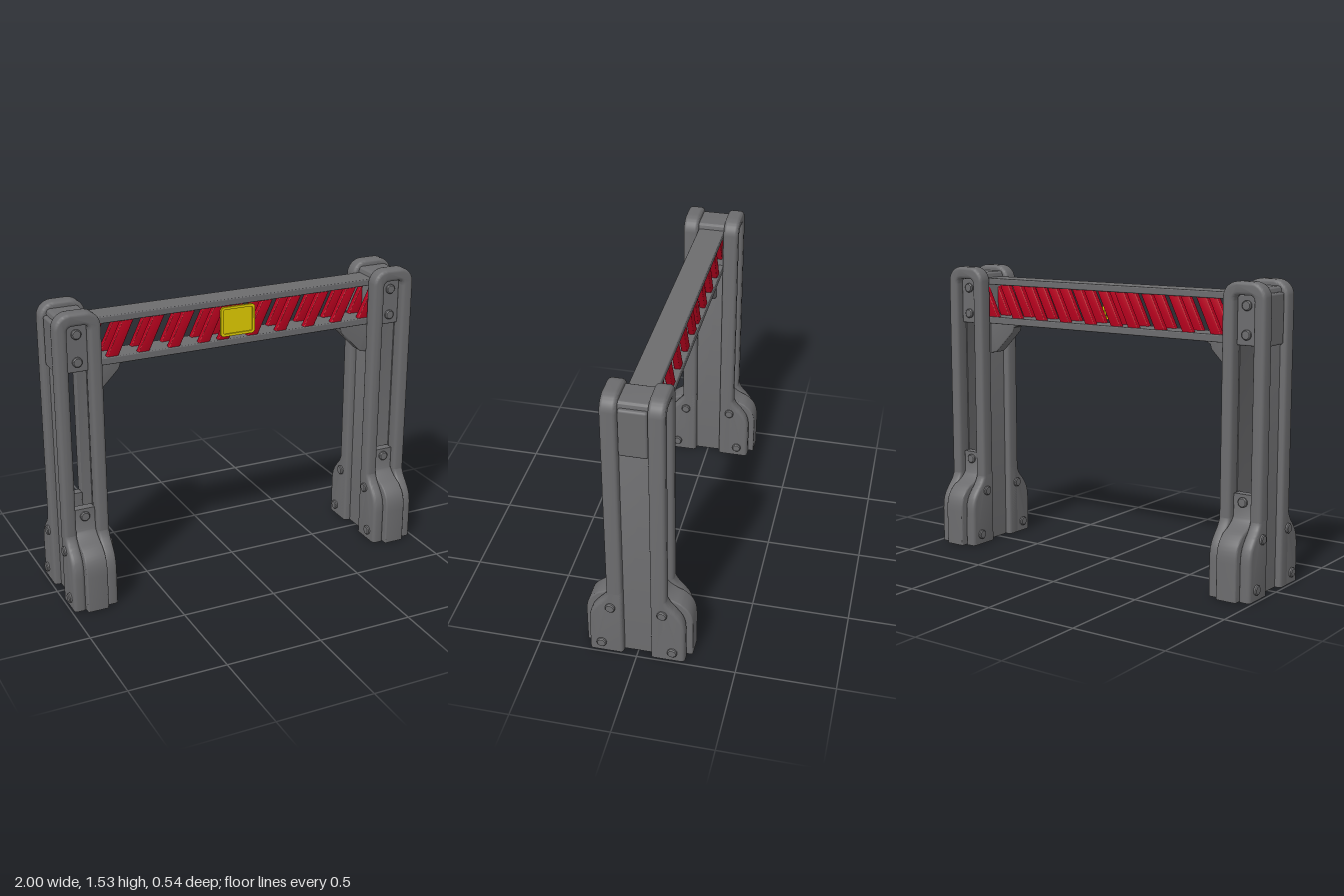
import * as THREE from 'three';
import { toCreasedNormals } from 'three/addons/utils/BufferGeometryUtils.js';
import { RoundedBoxGeometry } from 'three/addons/geometries/RoundedBoxGeometry.js';

export function createModel() {
  const root = new THREE.Group();
  root.name = 'barrierGate';
  const mat = (name, color) => Object.assign(new THREE.MeshStandardMaterial({ color }), { name });
  const steel = mat('steelGrey', 0x6c6c6e);
  steel.side = THREE.DoubleSide; // legs are hollow and open underneath
  const red = mat('stripeRed', 0xb8001e);
  const yellow = mat('signYellow', 0xe0cc00);

  const add = (parent, name, geo, material = steel) => {
    const mesh = new THREE.Mesh(geo, material);
    mesh.name = name;
    parent.add(mesh);
    return mesh;
  };

  // Cut a geometry level with the ground and leave it open underneath
  const openBase = (geo) => {
    const p = geo.attributes.position;
    const kept = [];
    for (let i = 0; i < p.count; i += 3) {
      const ys = [0, 1, 2].map(j => Math.max(0, p.getY(i + j)));
      if (Math.max(...ys) < 1e-4) continue;
      ys.forEach((y, j) => kept.push(p.getX(i + j), y, p.getZ(i + j)));
    }
    return new THREE.BufferGeometry().setAttribute('position', new THREE.Float32BufferAttribute(kept, 3));
  };

  // Extrude from d0 to d1 with bevels that stay inside those limits and the outline
  const slab = (shape, d0, d1, bevel = 0, open = false) => {
    const geo = new THREE.ExtrudeGeometry(shape, {
      depth: d1 - d0 - 2 * bevel, bevelEnabled: bevel > 0, bevelSize: bevel,
      bevelThickness: bevel, bevelOffset: -bevel, bevelSegments: 3, curveSegments: 8,
    });
    geo.translate(0, 0, d0 + bevel);
    return toCreasedNormals(open ? openBase(geo) : geo, 0.6);
  };

  const box = (parent, name, x0, x1, y0, y1, z0, z1, r) => {
    const mesh = add(parent, name, new RoundedBoxGeometry(x1 - x0, y1 - y0, z1 - z0, 2, r));
    mesh.position.set((x0 + x1) / 2, (y0 + y1) / 2, (z0 + z1) / 2);
  };

  // Domed rivet pointing along +z
  const rivetGeo = toCreasedNormals(new THREE.LatheGeometry(
    [[0.025, -0.002], [0.025, 0.009], [0.02, 0.014], [0, 0.015]].map(p => new THREE.Vector2(...p)), 20
  ).rotateX(Math.PI / 2), 0.6);
  const rivet = (parent, name, x, y, z, turn = 0) => {
    const mesh = add(parent, name, rivetGeo);
    mesh.position.set(x, y, z);
    mesh.rotation.y = turn;
  };

  const base = -0.02; // outlines start below ground, then openBase trims them

  // Inverted U: rounded outside top, narrow open slot inside
  const archShape = (w, top, r, slotW, slotTop, sr) => {
    const s = new THREE.Shape();
    s.moveTo(-w, base);
    s.lineTo(-slotW, base);
    s.lineTo(-slotW, slotTop - sr);
    s.quadraticCurveTo(-slotW, slotTop, -slotW + sr, slotTop);
    s.lineTo(slotW - sr, slotTop);
    s.quadraticCurveTo(slotW, slotTop, slotW, slotTop - sr);
    s.lineTo(slotW, base);
    s.lineTo(w, base);
    s.lineTo(w, top - r);
    s.absarc(w - r, top - r, r, 0, Math.PI / 2, false);
    s.absarc(-w + r, top - r, r, Math.PI / 2, Math.PI, false);
    s.lineTo(-w, base);
    return s;
  };

  // Flared foot profile in the side plane, extruded along x
  const foot = (reach, shoulder, neck, top, x0, x1, bevel) => {
    const s = new THREE.Shape();
    s.moveTo(-0.07, base);
    s.lineTo(-reach, base);
    s.lineTo(-reach, shoulder);
    s.bezierCurveTo(-reach, shoulder + 0.09, -reach + 0.035, shoulder + 0.11, -(reach + 0.14) / 2, shoulder + 0.135);
    s.quadraticCurveTo(-neck - 0.01, shoulder + 0.165, -neck, shoulder + 0.2);
    s.lineTo(-neck, top);
    s.lineTo(-0.07, top);
    return slab(s, x0, x1, bevel, true).rotateY(Math.PI / 2);
  };

  const plateGeo = slab(archShape(0.117, 1.53, 0.08, 0.055, 1.465, 0.03), 0.07, 0.15, 0.017, true);
  const coreGeo = slab(archShape(0.084, 1.5, 0.02, 0.055, 1.46, 0.02), -0.075, 0.075, 0, true);
  const ribGeo = foot(0.271, 0.19, 0.115, 0.5, -0.056, 0.056, 0.008);
  const flankGeos = [[0.055, 0.117], [-0.117, -0.055]]
    .map(([x0, x1]) => foot(0.242, 0.18, 0.149, 0.4, x0, x1, 0.017));

  for (const side of [-1, 1]) {
    const leg = new THREE.Group();
    leg.name = side > 0 ? 'leftLeg' : 'rightLeg';
    leg.position.x = side * 0.87;
    root.add(leg);
    add(leg, 'legCore', coreGeo);
    // Beam end block standing out from the leg, and the blocks filling the slots
    const [xa, xb] = [side * 0.104, side * -0.08].sort((a, b) => a - b);
    box(leg, 'beamEnd', xa, xb, 1.22, 1.472, -0.069, 0.069, 0.012);
    box(leg, 'slotBlock', -0.056, 0.056, 1.222, 1.467, -0.108, 0.108, 0.008);

    // Front and back halves are the same, turned half round
    for (const turn of [0, Math.PI]) {
      const half = new THREE.Group();
      half.name = turn ? 'backHalf' : 'frontHalf';
      half.rotation.y = turn;
      leg.add(half);
      add(half, 'archPlate', plateGeo);
      add(half, 'footRib', ribGeo);
      for (const geo of flankGeos) add(half, 'footFlank', geo);
      for (const y of [1.275, 1.415]) rivet(half, 'slotRivet', 0, y, 0.108);
      rivet(half, 'ribRivet', 0, 0.46, 0.115);
      for (const s of [-1, 1]) {
        rivet(half, 'footBolt', s * 0.117, 0.295, 0.13, s * Math.PI / 2);
        rivet(half, 'footBolt', s * 0.117, 0.055, 0.18, s * Math.PI / 2);
      }
    }

    // Gusset under the beam
    const g = new THREE.Shape();
    [[0.79, 1.055], [0.755, 1.06], [0.74, 1.07], [0.63, 1.18], [0.622, 1.205], [0.605, 1.212], [0.605, 1.23], [0.79, 1.23]]
      .forEach(([x, y], i) => (i ? g.lineTo(side * x, y) : g.moveTo(side * x, y)));
    add(root, 'gusset', slab(g, -0.035, 0.035, 0.006));
  }

  // Beam rails
  box(root, 'topRail', -0.8, 0.8, 1.435, 1.47, -0.07, 0.07, 0.006);
  box(root, 'bottomRail', -0.8, 0.8, 1.222, 1.26, -0.07, 0.07, 0.006);

  // Slanted bars in a front and a back row; two runs meet closely behind the sign
  const bar = new THREE.Shape();
  bar.moveTo(0, 1.25);
  bar.lineTo(0.06, 1.25);
  bar.lineTo(0.153, 1.445);
  bar.lineTo(0.093, 1.445);
  const barGeo = slab(bar, -0.016, 0.016, 0.006);
  for (const z of [-0.048, 0.048]) {
    for (const [start, count] of [[-0.868, 5], [-0.109, 6]]) {
      for (let k = 0; k < count; k++) {
        add(root, 'slantedBar', barGeo, red).position.set(start + k * 0.163, 0, z);
      }
    }
  }

  // Sign: one-sided face with a raised rim
  const rounded = (C, w, h, r) => {
    const s = new C();
    s.absarc(w - r, h - r, r, 0, Math.PI / 2, false);
    s.absarc(-w + r, h - r, r, Math.PI / 2, Math.PI, false);
    s.absarc(-w + r, -h + r, r, Math.PI, Math.PI * 1.5, false);
    s.absarc(w - r, -h + r, r, Math.PI * 1.5, Math.PI * 2, false);
    s.closePath();
    return s;
  };
  const rim = rounded(THREE.Shape, 0.095, 0.077, 0.018);
  rim.holes.push(rounded(THREE.Path, 0.082, 0.064, 0.01));
  add(root, 'signRim', slab(rim, 0.062, 0.075), yellow).position.y = 1.353;
  add(root, 'signFace', new THREE.ShapeGeometry(rounded(THREE.Shape, 0.088, 0.07, 0.015)), yellow)
    .position.set(0, 1.353, 0.068);

  return root;
}
